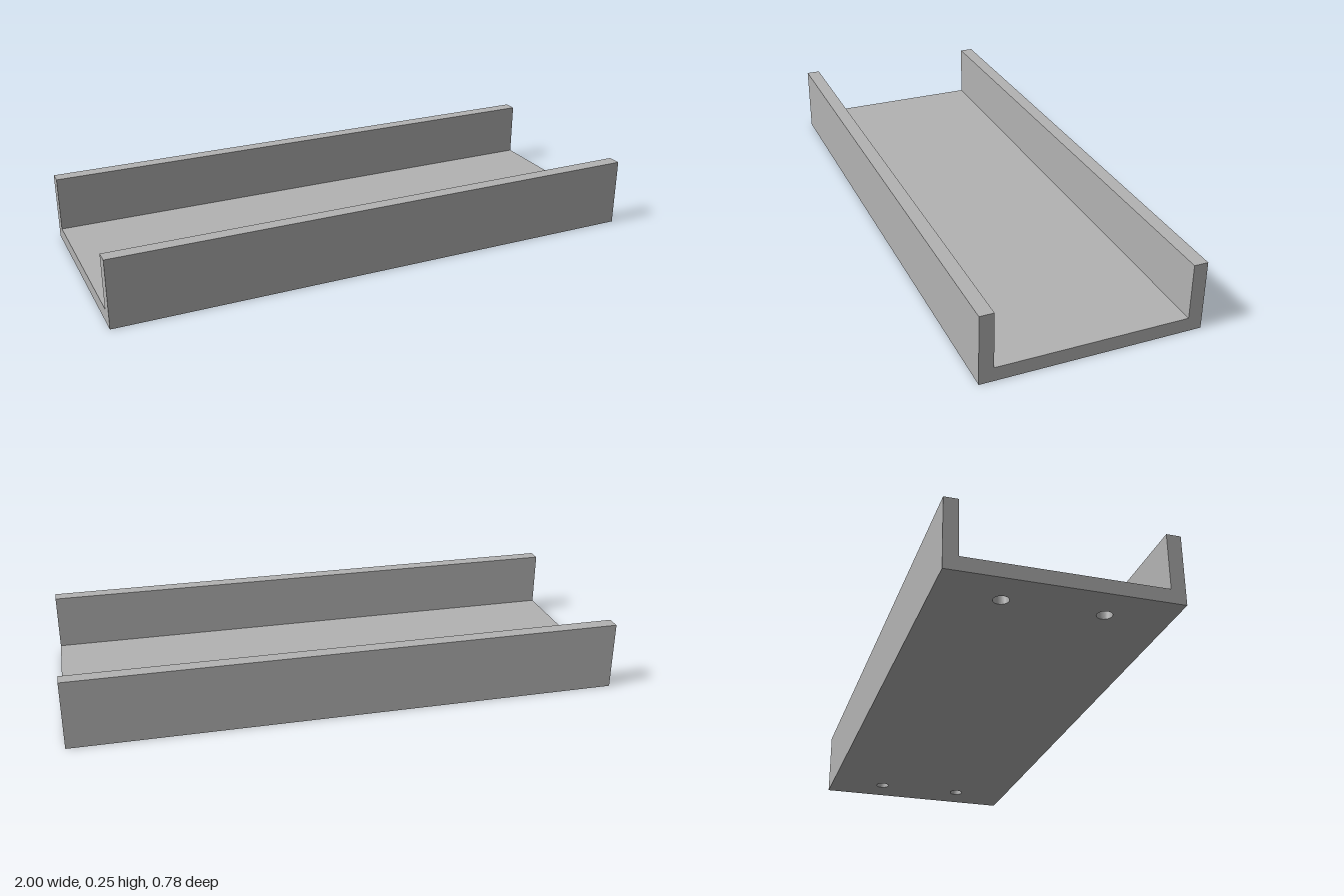
import * as THREE from 'three';

const LENGTH = 2, HALF_DEPTH = 0.39, HEIGHT = 0.25, THICKNESS = 0.05;
const HOLE_DEPTH = 0.04, HOLE_RADIUS = 0.026, HOLE_X = 0.87, HOLE_Z = 0.17;

const extrude = (shape, depth) =>
  new THREE.ExtrudeGeometry(shape, { depth, bevelEnabled: false, curveSegments: 24 });

export function createModel() {
  const group = new THREE.Group();
  group.name = 'channel';
  const grey = new THREE.MeshStandardMaterial({ color: 0xb3b3b3 });
  grey.name = 'plain grey';

  const add = (name, geometry) => {
    const mesh = new THREE.Mesh(geometry, grey);
    mesh.name = name;
    group.add(mesh);
  };

  // U-shaped tray: cross-section swept along x, closing the tops of the holes
  const inner = HALF_DEPTH - THICKNESS;
  const profile = new THREE.Shape([
    [-HALF_DEPTH, HOLE_DEPTH], [HALF_DEPTH, HOLE_DEPTH], [HALF_DEPTH, HEIGHT], [inner, HEIGHT],
    [inner, THICKNESS], [-inner, THICKNESS], [-inner, HEIGHT], [-HALF_DEPTH, HEIGHT],
  ].map(([z, y]) => new THREE.Vector2(z, y)));
  add('tray', extrude(profile, LENGTH).rotateY(Math.PI / 2).translate(-LENGTH / 2, 0, 0));

  // Underside layer with four blind mounting holes
  const half = LENGTH / 2;
  const sole = new THREE.Shape([
    [-half, -HALF_DEPTH], [half, -HALF_DEPTH], [half, HALF_DEPTH], [-half, HALF_DEPTH],
  ].map(([x, z]) => new THREE.Vector2(x, z)));
  for (const sx of [-1, 1]) {
    for (const sz of [-1, 1]) {
      sole.holes.push(new THREE.Path().absarc(sx * HOLE_X, sz * HOLE_Z, HOLE_RADIUS, 0, Math.PI * 2, true));
    }
  }
  add('drilledBase', extrude(sole, HOLE_DEPTH).rotateX(-Math.PI / 2));

  return group;
}
